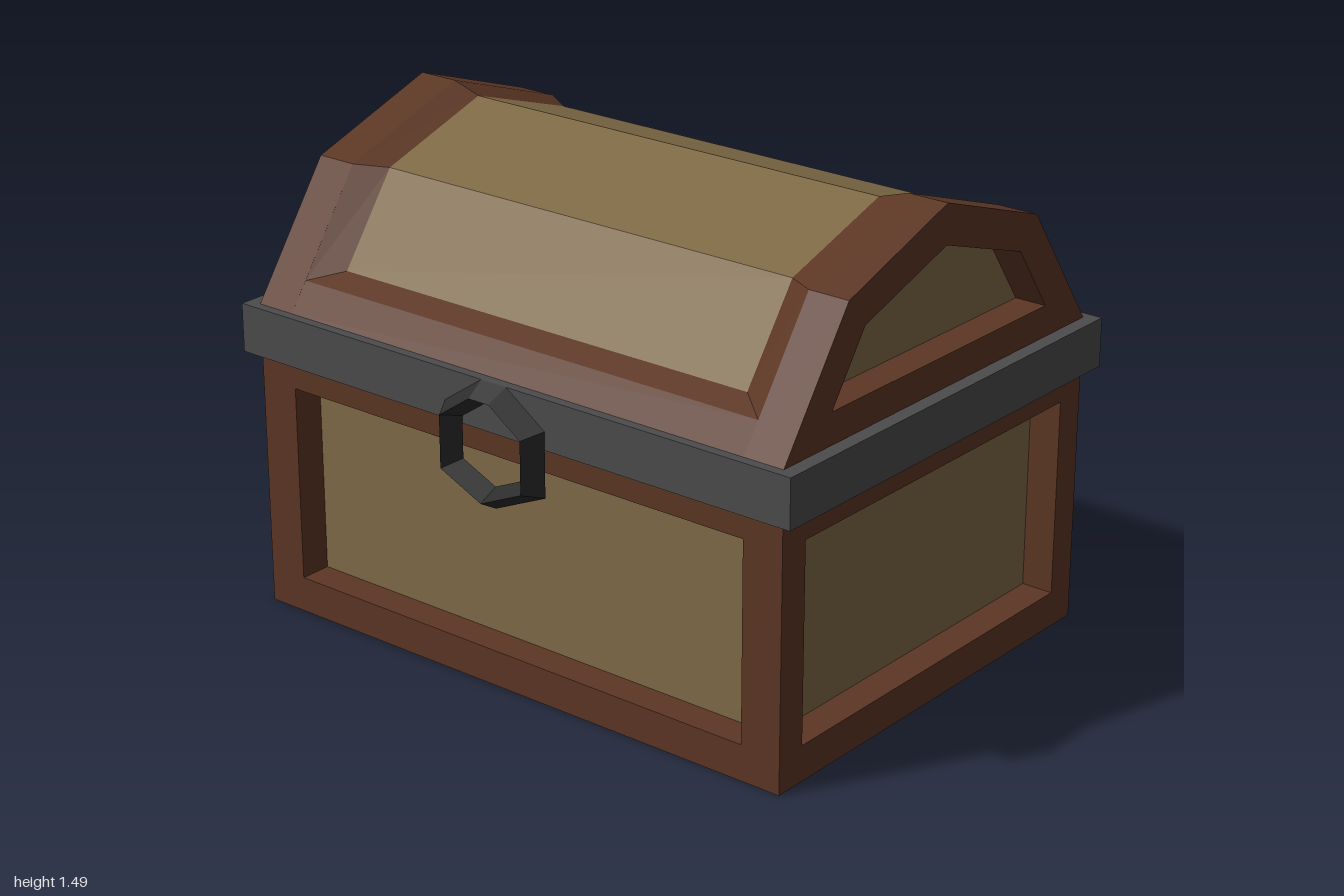
import * as THREE from 'three';
import { mergeGeometries } from 'three/addons/utils/BufferGeometryUtils.js';

const material = (color) => new THREE.MeshStandardMaterial({ color, flatShading: true });
const wood = material(0x5c3624), panel = material(0x7f6a46);
const iron = material(0x4c4c4c), darkIron = material(0x2c2c2c);

const W = 0.955, D = 0.71, RECESS = 0.1; // half width, half depth, panel recess
const STILE = 0.825;                     // inner edge of the corner posts and lid ends

export function createModel() {
  const model = new THREE.Group();
  const chest = new THREE.Group();
  chest.name = 'chest';
  chest.position.z = -0.03;
  model.add(chest);

  const add = (name, geometry, mat) => {
    const mesh = new THREE.Mesh(geometry, mat);
    mesh.name = name;
    chest.add(mesh);
  };
  const box = (name, mat, x0, x1, y0, y1, z0, z1) => {
    const g = new THREE.BoxGeometry(x1 - x0, y1 - y0, z1 - z0);
    add(name, g.translate((x0 + x1) / 2, (y0 + y1) / 2, (z0 + z1) / 2), mat);
  };
  // Row of quads between two matching lists of points
  const strip = (a, b) => {
    const p = [];
    for (let i = 0; i < a.length - 1; i++) {
      p.push(...a[i], ...b[i], ...b[i + 1], ...a[i], ...b[i + 1], ...a[i + 1]);
    }
    const g = new THREE.BufferGeometry();
    g.setAttribute('position', new THREE.Float32BufferAttribute(p, 3));
    g.computeVertexNormals();
    return g;
  };

  // Body: recessed core, floor, corner posts and rails
  const ix = W - RECESS, iz = D - RECESS;
  box('bodyPanels', panel, -ix, ix, 0.05, 0.9, -iz, iz);
  box('floor', wood, -ix, ix, 0, 0.1, -iz, iz);
  for (const s of [-1, 1]) {
    const span = (a, b) => (s > 0 ? [a, b] : [-b, -a]);
    for (const x of [[-W, -STILE], [STILE, W]]) {
      box('cornerPost', wood, ...x, 0, 0.9, ...span(iz, D));
    }
    for (const y of [[0, 0.11], [0.717, 0.9]]) {
      box('longRail', wood, -STILE, STILE, ...y, ...span(iz, D));
      box('sideRail', wood, ...span(ix, W), ...y, -iz, iz);
    }
  }

  // Iron band around the rim
  box('ironBand', iron, -1, 1, 0.8, 0.95, -0.74, 0.74);

  // Lid profiles as [z, y], front to back, mirrored from the front half
  const arch = (a, b, top) => [a, b, [0, top], [-b[0], b[1]], [-a[0], a[1]]];
  const outer = arch([D, 0.95], [0.44, 1.335], 1.485);
  const opening = arch([0.65, 1.035], [0.44, 1.335], 1.485);
  const inset = arch([0.575, 1.065], [0.385, 1.33], 1.455);
  const endHole = arch([0.505, 1.045], [0.365, 1.245], 1.365);
  const toPoints = (list) => list.map(([z, y]) => new THREE.Vector2(z, y));
  const prism = (shape, depth, x) =>
    new THREE.ExtrudeGeometry(shape, { depth, bevelEnabled: false }).rotateY(Math.PI / 2).translate(x, 0, 0);

  // Lid ends with a recessed panel in each
  const endShape = new THREE.Shape(toPoints(outer));
  endShape.holes.push(new THREE.Path(toPoints(endHole)));
  for (const x of [-W, STILE]) add('lidEnd', prism(endShape, W - STILE, x), wood);
  add('lidEndPanels', prism(new THREE.Shape(toPoints(endHole)), 2 * ix, -ix), panel);

  // Lid top: sunken panel, bevels around it and the lower rails
  const at = (x, list) => list.map(([z, y]) => [x, y, z]);
  const across = (x, list) => strip(at(-x, list), at(x, list));
  const X = 0.73;
  add('lidPanel', across(X, inset), panel);
  const bevel = (p, q) => strip(
    [[-p[2], p[1], p[0]], [-q[2], q[1], q[0]]],
    [[p[2], p[1], p[0]], [q[2], q[1], q[0]]]);
  add('lidFrame', mergeGeometries([
    strip(at(-STILE, opening), at(-X, inset)),
    strip(at(X, inset), at(STILE, opening)),
    bevel([...opening[0], STILE], [...inset[0], X]),
    bevel([...inset[4], X], [...opening[4], STILE]),
    across(STILE, [outer[0], opening[0]]),
    across(STILE, [opening[4], outer[4]]),
  ]), wood);

  // Ring handle: seven-sided, triangular in section
  const ring = [[0.045, 0.185], [-0.045, 0.185], [-0.183, 0.09], [-0.183, -0.108],
    [0, -0.19], [0.183, -0.108], [0.183, 0.09], [0.045, 0.185]];
  const loops = [[1, 0.74], [0.81, 0.803], [0.65, 0.74], [1, 0.74]].map(([k, z]) =>
    ring.map(([x, y]) => [x * k - 0.018, y * k + 0.765, z]));
  add('ringHandle', mergeGeometries([0, 1, 2].map((i) => strip(loops[i + 1], loops[i]))), darkIron);

  return model;
}
